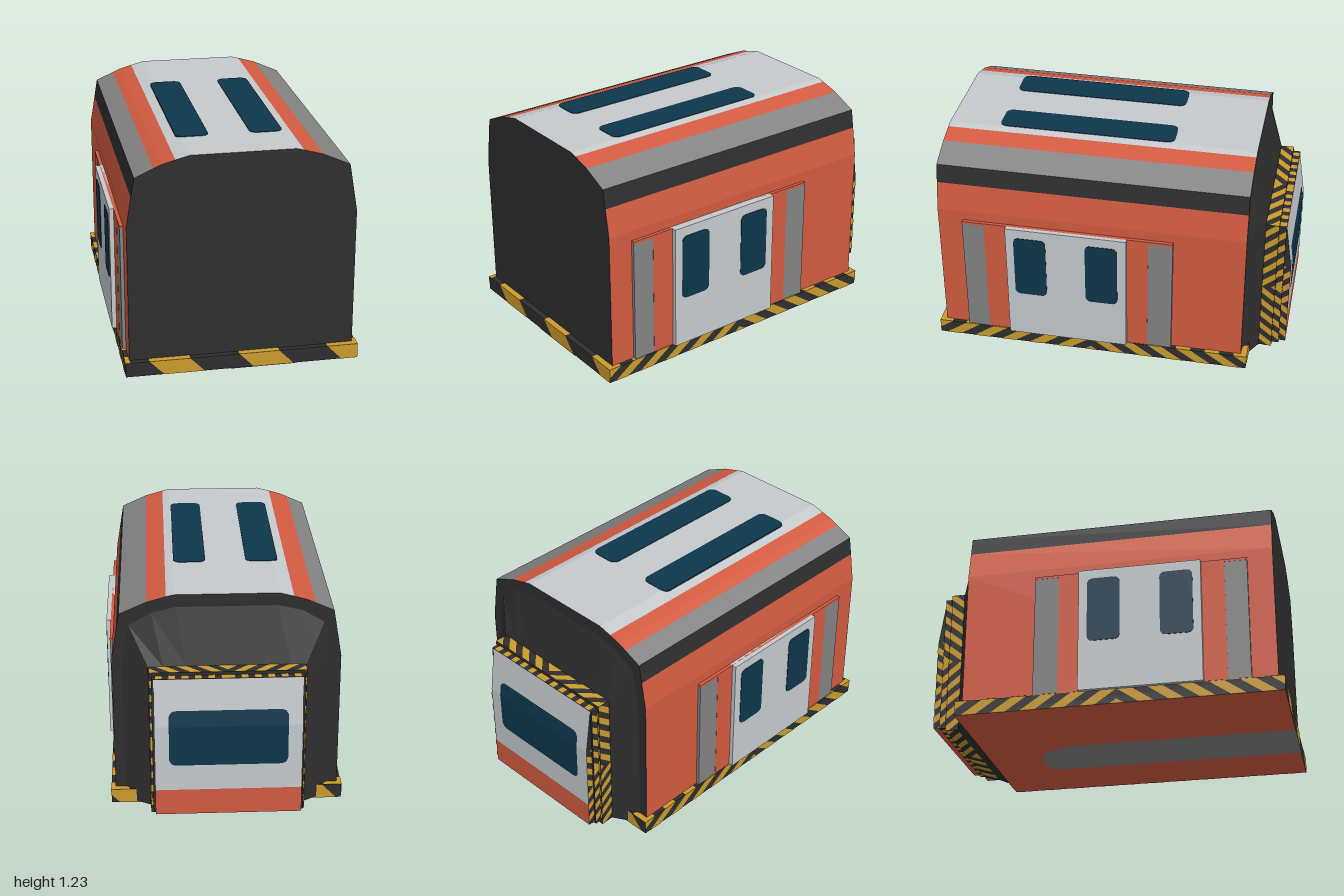
import * as THREE from 'three';

const mat = (name, color, side = THREE.FrontSide) => {
  const m = new THREE.MeshStandardMaterial({ color, side });
  m.name = name;
  return m;
};

export function createModel() {
  const root = new THREE.Group();
  root.name = 'carriageModule';
  const red = mat('orangeRed', 0xd25b41, THREE.DoubleSide);
  const white = mat('paleGrey', 0xc6cacd, THREE.DoubleSide);
  const grey = mat('midGrey', 0x838383, THREE.DoubleSide);
  const dark = mat('charcoal', 0x2e2e2e, THREE.DoubleSide);
  const yellow = mat('hazardYellow', 0xcb9b2e, THREE.DoubleSide);
  const glass = mat('darkBlueGlass', 0x0d364b, THREE.DoubleSide);

  const add = (name, geo, material) => {
    const m = new THREE.Mesh(geo, material);
    m.name = name;
    root.add(m);
    return m;
  };
  // Box given by its minimum and maximum corners
  const box = (name, material, x0, x1, y0, y1, z0, z1) => {
    const m = add(name, new THREE.BoxGeometry(Math.abs(x1 - x0), y1 - y0, z1 - z0), material);
    m.position.set((x0 + x1) / 2, (y0 + y1) / 2, (z0 + z1) / 2);
    return m;
  };
  const roundedRect = (w, h, r) => {
    const s = new THREE.Shape();
    const a = w / 2 - r, b = h / 2 - r;
    s.absarc(a, b, r, 0, Math.PI / 2);
    s.absarc(-a, b, r, Math.PI / 2, Math.PI);
    s.absarc(-a, -b, r, Math.PI, Math.PI * 1.5);
    s.absarc(a, -b, r, Math.PI * 1.5, Math.PI * 2);
    return s;
  };
  const plate = (w, h, r, d) =>
    new THREE.ExtrudeGeometry(roundedRect(w, h, r), { depth: d, bevelEnabled: false, curveSegments: 4 });
  const buffer = (pos) => {
    const g = new THREE.BufferGeometry();
    g.setAttribute('position', new THREE.Float32BufferAttribute(pos, 3));
    g.computeVertexNormals();
    return g;
  };
  // Skin between two open cross-sections of equal point count
  const skin = (a, b) => {
    const pos = [];
    for (let i = 0; i < a.length - 1; i++)
      pos.push(...a[i], ...a[i + 1], ...b[i], ...a[i + 1], ...b[i + 1], ...b[i]);
    return buffer(pos);
  };

  // Keeps the part of a convex polygon where sign * u >= sign * limit
  const clip = (poly, limit, sign) => {
    const out = [];
    poly.forEach((p, i) => {
      const q = poly[(i + 1) % poly.length];
      const dp = sign * (p[0] - limit), dq = sign * (q[0] - limit);
      if (dp >= 0) out.push(p);
      if (dp * dq < 0) {
        const t = dp / (dp - dq);
        out.push([limit, p[1] + (q[1] - p[1]) * t]);
      }
    });
    return out;
  };
  // Slanted yellow stripes on a rectangle at o, spanned by u (length L) and v (width W);
  // mirrored ones form a chevron at the middle
  const stripes = (name, o, u, v, L, W, { period, band = period / 2, slant = 0, start = 0, mirror = false }) => {
    const pos = [];
    const run = mirror ? L / 2 : L;
    const put = (p, s) => {
      const along = mirror ? L / 2 + s * p[0] : p[0];
      for (let k = 0; k < 3; k++) pos.push(o[k] + u[k] * along + v[k] * p[1]);
    };
    for (let a = start - 3 * period; a < run + 3 * period; a += period) {
      let poly = [[a, 0], [a + band, 0], [a + band + slant, W], [a + slant, W]];
      poly = clip(clip(poly, 0, 1), run, -1);
      for (const s of mirror ? [1, -1] : [1])
        for (let i = 1; i < poly.length - 1; i++) [poly[0], poly[i], poly[i + 1]].forEach((p) => put(p, s));
    }
    add(name, buffer(pos), yellow);
  };

  // Base plinth with red underside and grey floor strip
  box('basePlinth', [dark, dark, dark, red, dark, dark], -0.638, 0.638, 0.002, 0.084, -0.798, 0.998);
  const strip = new THREE.Shape();
  strip.moveTo(-0.07, 1);
  strip.lineTo(0.29, 1);
  strip.lineTo(0.29, -0.44);
  strip.quadraticCurveTo(0.28, -0.49, 0.22, -0.49);
  strip.lineTo(0.1, -0.49);
  strip.quadraticCurveTo(-0.05, -0.47, -0.07, -0.24);
  add('undersideStrip', new THREE.ShapeGeometry(strip), grey).rotation.x = Math.PI / 2;

  // Plinth warning stripes, faces and top rim
  const X = [1, 0, 0], Y = [0, 1, 0], Z = [0, 0, 1];
  const wide = { period: 0.49, band: 0.22 };
  stripes('frontStripes', [-0.64, 0.002, 1], X, Y, 1.28, 0.083, { ...wide, start: 0.21, slant: -0.08 });
  stripes('frontRimStripes', [-0.64, 0.086, 0.965], X, Z, 1.28, 0.035, { ...wide, start: 0.13 });
  stripes('backStripes', [-0.64, 0.002, -0.8], X, Y, 1.28, 0.083, { ...wide, start: 0.52, slant: 0.08 });
  stripes('backRimStripes', [-0.64, 0.086, -0.8], X, Z, 1.28, 0.035, { period: 1.18, band: 0.1 });
  for (const s of [1, -1]) {
    const side = { period: 0.165, mirror: true };
    stripes('sideStripes', [s * 0.64, 0.002, -0.8], Z, Y, 1.8, 0.083, { ...side, start: 0.12, slant: -0.12 });
    stripes('sideRimStripes', [s * 0.614, 0.086, -0.8], Z, X.map((c) => c * s), 1.8, 0.026, side);
  }

  // Body shell: coloured bands along an arched section
  const zBack = -0.765, zFront = 0.965;
  const bands = [
    ['rightWall', red, [[-0.615, 0.08], [-0.615, 0.86], [-0.588, 1.02]]],
    ['rightDarkBand', dark, [[-0.588, 1.02], [-0.57, 1.125]]],
    ['rightGreyBand', grey, [[-0.57, 1.125], [-0.47, 1.17]]],
    ['rightRoofStripe', red, [[-0.47, 1.17], [-0.425, 1.19], [-0.355, 1.21]]],
    ['roof', white, [[-0.355, 1.21], [-0.28, 1.23], [0.28, 1.23], [0.32, 1.22]]],
    ['leftRoofStripe', red, [[0.32, 1.22], [0.425, 1.19]]],
    ['leftGreyBand', grey, [[0.425, 1.19], [0.57, 1.125]]],
    ['leftDarkBand', dark, [[0.57, 1.125], [0.588, 1.02]]],
    ['leftWall', red, [[0.588, 1.02], [0.615, 0.86], [0.615, 0.08]]],
  ];
  const at = (pts, z) => pts.map(([x, y]) => [x, y, z]);
  for (const [name, material, pts] of bands) add(name, skin(at(pts, zBack), at(pts, zFront)), material);
  const section = new THREE.Shape(bands.flatMap(([, , p]) => p.slice(0, -1).map(([x, y]) => new THREE.Vector2(x, y)))
    .concat(new THREE.Vector2(0.615, 0.08)));
  add('frontBulkhead', new THREE.ShapeGeometry(section), dark).position.z = zFront;
  const backWall = add('backBulkhead', new THREE.ShapeGeometry(section), dark);
  backWall.position.z = zBack;
  backWall.rotation.y = Math.PI;
  backWall.scale.x = -1;

  // Roof windows
  for (const x of [-0.217, 0.184]) {
    const w = add('roofWindow', plate(0.178, 0.985, 0.04, 0.008), glass);
    w.rotation.x = -Math.PI / 2;
    w.position.set(x, 1.225, 0.188);
  }

  // Sliding side doors on their raised surrounds
  for (const s of [1, -1]) {
    const side = s > 0 ? 'left' : 'right';
    box(side + 'DoorLintel', red, s * 0.6, s * 0.635, 0.79, 0.805, -0.365, 0.825);
    box(side + 'DoorSurround', red, s * 0.6, s * 0.635, 0.084, 0.79, -0.228, 0.7);
    for (const [z0, z1] of [[-0.365, -0.228], [0.7, 0.825]])
      box(side + 'DoorPillar', grey, s * 0.6, s * 0.634, 0.084, 0.79, z0, z1);
    box(side + 'SideDoor', white, s * 0.6, s * 0.66, 0.084, 0.805, -0.11, 0.572);
    for (const z of [0.435, 0.03]) {
      const w = add(side + 'DoorWindow', plate(0.182, 0.38, 0.03, 0.004), glass);
      w.rotation.y = (s * Math.PI) / 2;
      w.position.set(s * 0.659, 0.56, z);
    }
  }

  // Tapered end leading to the gangway
  const half0 = [[0.56, 0.01], [0.56, 0.84], [0.52, 1.06], [0.4, 1.13], [0.27, 1.16]];
  const half1 = [[0.42, 0.01], [0.42, 0.76], [0.42, 0.85], [0.34, 0.85], [0.22, 0.85]];
  const full = (h) => [...h.map(([x, y]) => [-x, y]), ...h.slice().reverse(), [-h[0][0], h[0][1]]];
  add('taperedEnd', skin(at(full(half0), zBack), at(full(half1), -0.846)), dark);

  // Stepped gangway frame with warning stripes
  box('gangwayFrame', dark, -0.418, 0.418, 0.01, 0.853, -0.92, -0.84);
  box('gangwayStep', dark, -0.406, 0.406, 0.03, 0.834, -0.96, -0.91);
  const chevron = { period: 0.084, mirror: true };
  const dash = { period: 0.07, mirror: true };
  const back = [0, 0, -1];
  for (const s of [1, -1]) {
    stripes('frameSideStripes', [s * 0.42, 0.01, -0.846], Y, back, 0.843, 0.074, { ...chevron, slant: 0.06 });
    stripes('stepSideStripes', [s * 0.408, 0.03, -0.92], Y, back, 0.804, 0.04, { ...chevron, start: 0.06, slant: 0.03 });
    stripes('endDoorSideStripes', [s * 0.397, 0.04, -0.96], Y, back, 0.53, 0.04, { ...chevron, slant: 0.03 });
    stripes('frameBackStripes', [s * 0.406, 0.01, -0.922], Y, [s, 0, 0], 0.843, 0.012, chevron);
  }
  stripes('frameTopStripes', [-0.418, 0.855, -0.846], X, back, 0.836, 0.074, { period: 0.11, mirror: true, slant: -0.08 });
  stripes('stepTopStripes', [-0.406, 0.836, -0.92], X, back, 0.812, 0.04, dash);
  stripes('frameBottomStripes', [-0.418, 0.008, -0.846], X, back, 0.836, 0.074, { period: 0.11, mirror: true, slant: -0.08 });
  stripes('stepBottomStripes', [-0.406, 0.028, -0.92], X, back, 0.812, 0.04, dash);

  // End door: vertical below, leaning in above, with a wraparound window
  const sideProfile = (pts) => {
    const s = new THREE.Shape(pts.map(([z, y]) => new THREE.Vector2(-z, y)));
    const g = new THREE.ExtrudeGeometry(s, { depth: 0.79, bevelEnabled: false });
    return g.translate(0, 0, -0.395).rotateY(Math.PI / 2);
  };
  const sideCaps = [dark, white], lowCaps = [dark, red];
  add('endDoorUpper', sideProfile([[-0.93, 0.19], [-0.998, 0.19], [-0.998, 0.57], [-0.96, 0.832], [-0.93, 0.832]]), sideCaps);
  add('endDoorLower', sideProfile([[-0.93, 0.04], [-0.998, 0.04], [-0.998, 0.19], [-0.93, 0.19]]), lowCaps);
  const rows = [[0.34, 0.285], [0.348, 0.305], [0.37, 0.318], [0.57, 0.318], [0.63, 0.318], [0.652, 0.305], [0.66, 0.285]];
  const pane = rows.map(([y, w]) => [w, y, -1 + Math.max(0, y - 0.57) * 0.145]);
  add('endDoorWindow', skin(pane, pane.map(([x, y, z]) => [-x, y, z])), glass);

  return root;
}
